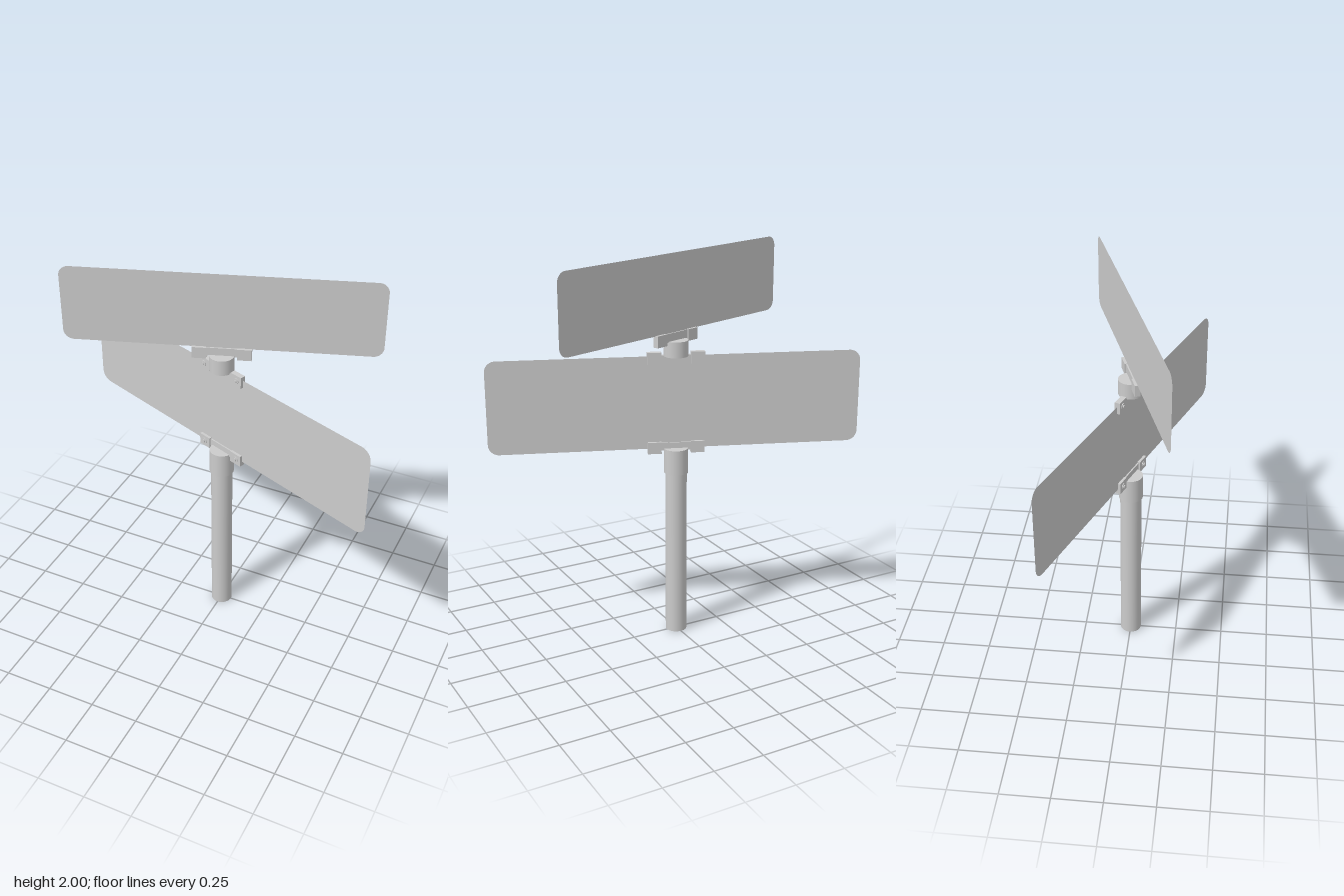
import * as THREE from 'three';

const metal = new THREE.MeshStandardMaterial({ color: 0xcccccc });
const sheet = new THREE.MeshStandardMaterial({ color: 0xcccccc, side: THREE.DoubleSide });

function add(parent, name, geometry, x = 0, y = 0, z = 0, material = metal) {
  const mesh = new THREE.Mesh(geometry, material);
  mesh.name = name;
  mesh.position.set(x, y, z);
  parent.add(mesh);
  return mesh;
}

// Upright cylinder between two heights
function post(parent, name, radius, y0, y1) {
  return add(parent, name, new THREE.CylinderGeometry(radius, radius, y1 - y0, 40), 0, (y0 + y1) / 2, 0);
}

// Thin blade with rounded corners
function blade(width, y0, y1, r) {
  const w = width / 2, s = new THREE.Shape();
  s.moveTo(-w + r, y0);
  s.lineTo(w - r, y0);
  s.absarc(w - r, y0 + r, r, -Math.PI / 2, 0);
  s.absarc(w - r, y1 - r, r, 0, Math.PI / 2);
  s.absarc(-w + r, y1 - r, r, Math.PI / 2, Math.PI);
  s.absarc(-w + r, y0 + r, r, Math.PI, Math.PI * 1.5);
  return new THREE.ShapeGeometry(s, 10);
}

// Clamp: thin web over the post with a thicker jaw at each end
function clamp(parent, name, webLow, webHigh, jawLow, jawHigh, bolted) {
  const g = new THREE.Group();
  g.name = name;
  parent.add(g);
  add(g, 'clampWeb', new THREE.BoxGeometry(0.17, webHigh - webLow, 0.014), 0, (webLow + webHigh) / 2, 0);
  const jawY = (jawLow + jawHigh) / 2;
  for (const side of [-1, 1]) {
    add(g, 'clampJaw', new THREE.BoxGeometry(0.07, jawHigh - jawLow, 0.028), side * 0.11, jawY, 0);
    if (!bolted) continue;
    const washer = add(g, 'boltWasher', new THREE.CylinderGeometry(0.016, 0.016, 0.004, 20), side * 0.113, jawY, 0.016);
    const head = add(g, 'boltHead', new THREE.CylinderGeometry(0.009, 0.009, 0.008, 6), side * 0.113, jawY, 0.02);
    washer.rotation.x = head.rotation.x = Math.PI / 2;
  }
}

export function createModel() {
  const model = new THREE.Group();
  model.name = 'streetSign';

  // Pole, its top collar, and the coupler between the blades
  post(model, 'pole', 0.055, 0, 0.9);
  post(model, 'poleCollar', 0.062, 0.88, 1.01);
  post(model, 'coupler', 0.062, 1.49, 1.57);

  // Lower blade, clamped along both long edges
  const lower = new THREE.Group();
  lower.name = 'lowerSign';
  lower.rotation.y = -0.363;
  model.add(lower);
  add(lower, 'lowerBlade', blade(1.885, 1.01, 1.49, 0.055), 0, 0, 0, sheet);
  clamp(lower, 'lowerClamp', 1.0, 1.04, 0.985, 1.045, true);
  clamp(lower, 'middleClamp', 1.455, 1.495, 1.45, 1.51, true);

  // Upper blade, standing on its clamp
  const upper = new THREE.Group();
  upper.name = 'upperSign';
  upper.rotation.y = 0.326;
  model.add(upper);
  add(upper, 'upperBlade', blade(1.535, 1.61, 2, 0.05), 0, 0, 0, sheet);
  clamp(upper, 'upperClamp', 1.565, 1.61, 1.553, 1.612, false);

  return model;
}
